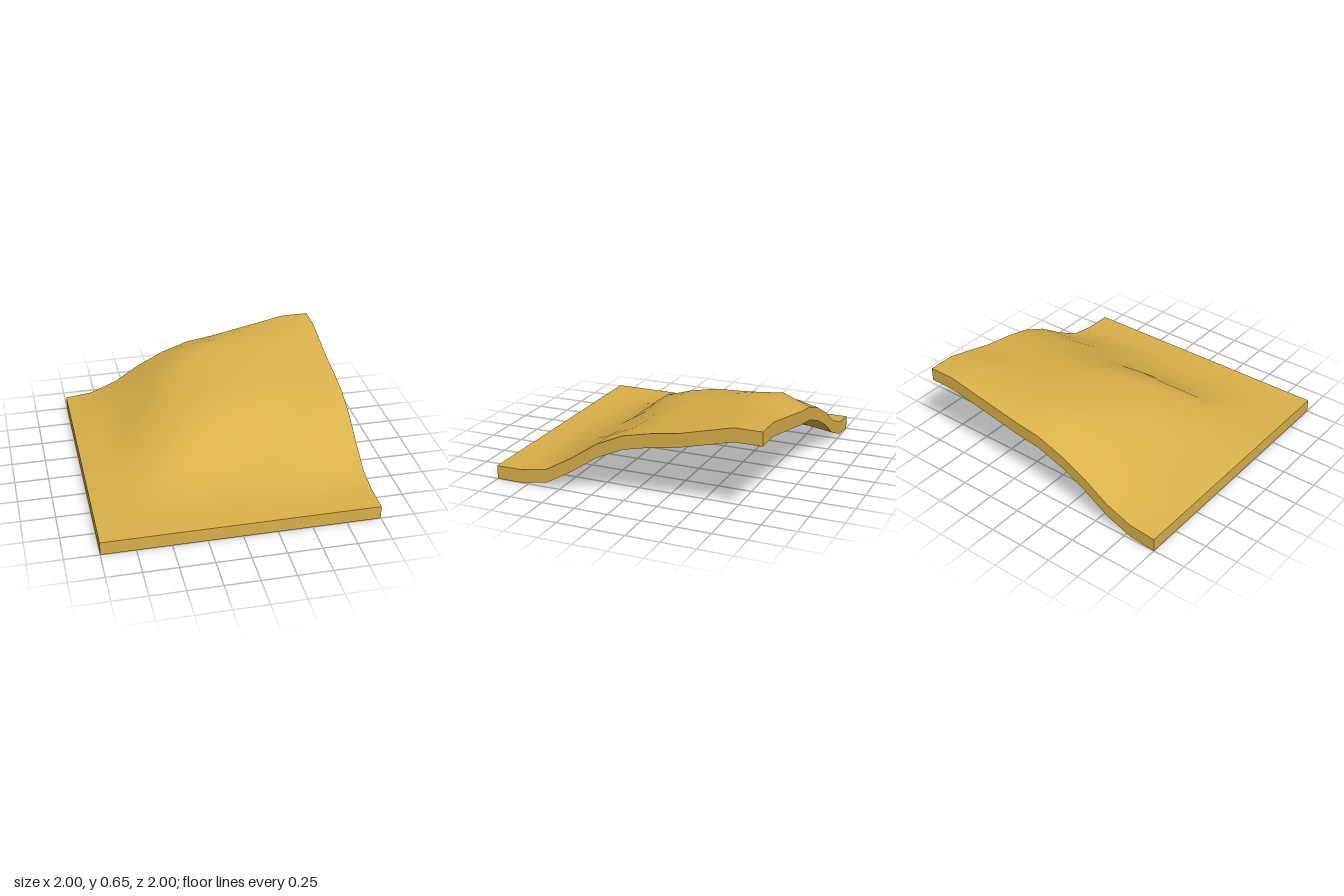
import * as THREE from 'three';

// Rise of the ground at x = -0.8 ... 1, one cross-section per row from the back (z = -1) to z = 0.6
const sections = [
  [0.02, 0.1, 0.23, 0.33, 0.4, 0.43, 0.47, 0.51, 0.55, 0.55],
  [0.05, 0.13, 0.27, 0.38, 0.48, 0.5, 0.5, 0.52, 0.55, 0.55],
  [0.06, 0.14, 0.29, 0.39, 0.46, 0.49, 0.5, 0.5, 0.5, 0.5],
  [0.06, 0.14, 0.3, 0.38, 0.42, 0.44, 0.45, 0.45, 0.45, 0.45],
  [0.05, 0.14, 0.3, 0.37, 0.4, 0.42, 0.42, 0.42, 0.42, 0.42],
  [0.04, 0.13, 0.26, 0.33, 0.36, 0.36, 0.36, 0.36, 0.37, 0.375],
  [0.03, 0.1, 0.2, 0.27, 0.28, 0.26, 0.25, 0.26, 0.28, 0.285],
  [0.02, 0.06, 0.1, 0.11, 0.12, 0.14, 0.15, 0.16, 0.155, 0.15],
  [0.01, 0.02, 0.03, 0.03, 0.035, 0.05, 0.065, 0.06, 0.045, 0.035],
];

// The left edge and the front strip stay level
function rise(x, z) {
  const column = Math.round((x + 1) * 5) - 1;
  const row = Math.round((z + 1) * 5);
  return sections[row]?.[column] ?? 0;
}

export function createModel() {
  const group = new THREE.Group();
  group.name = 'terrainTile';

  // Slab of even thickness, lifted into a hillside
  const thickness = 0.1;
  const geometry = new THREE.BoxGeometry(2, thickness, 2, 10, 1, 10);
  const p = geometry.attributes.position;
  for (let i = 0; i < p.count; i++) {
    p.setY(i, p.getY(i) + thickness / 2 + rise(p.getX(i), p.getZ(i)));
  }
  // Box sides keep separate vertices, so the rim stays sharp and the ground smooth
  geometry.computeVertexNormals();

  const hillside = new THREE.Mesh(geometry, new THREE.MeshStandardMaterial({ color: 0xd9b048 }));
  hillside.name = 'hillside';
  group.add(hillside);
  return group;
}
